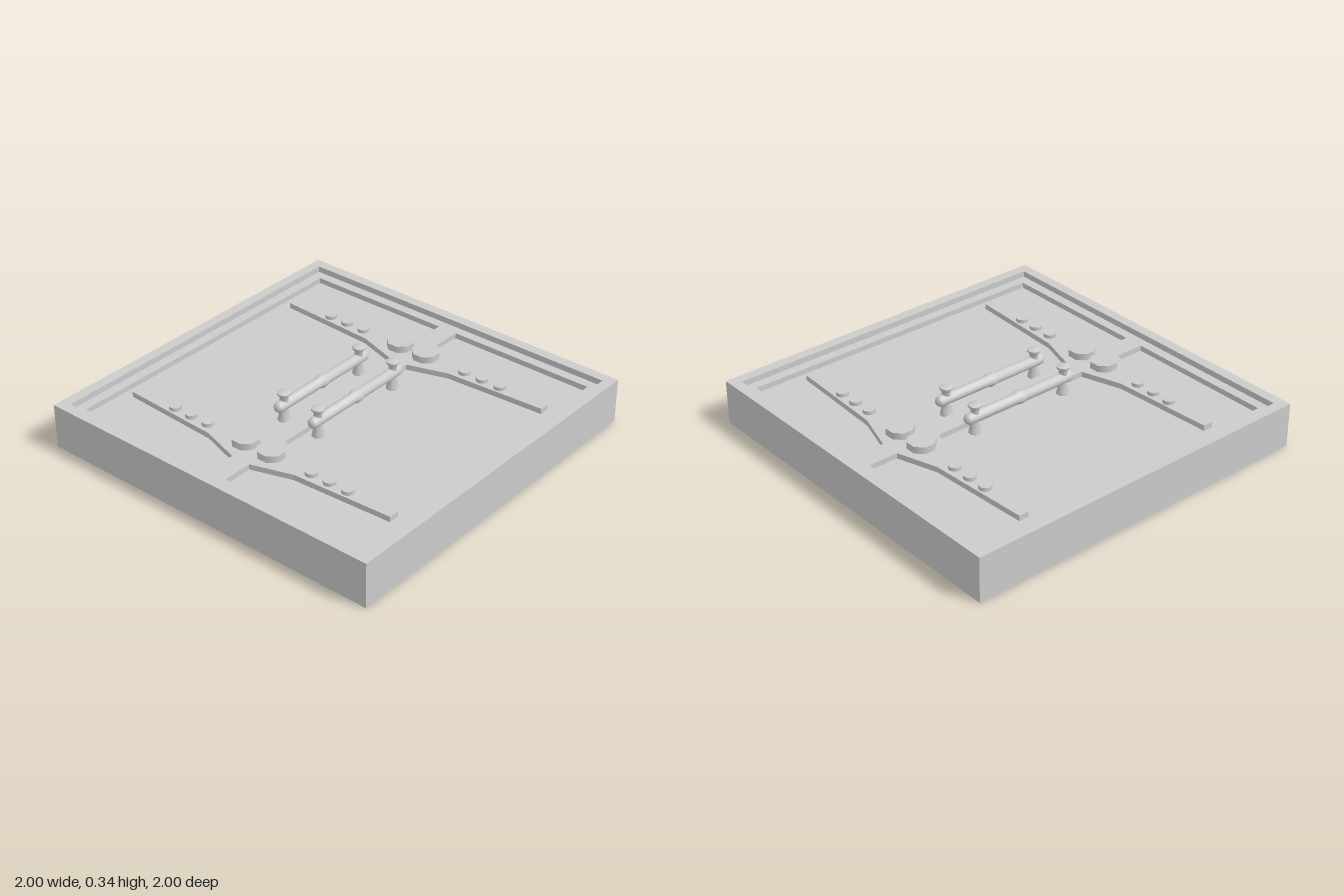
import * as THREE from 'three';
import { toCreasedNormals } from 'three/addons/utils/BufferGeometryUtils.js';

const FLOOR = 0.182, LEDGE = 0.212, RIM = 0.245;
const HINGE_Z = 0.597;

export function createModel() {
  const model = new THREE.Group();
  const material = new THREE.MeshStandardMaterial({ color: 0xcccccc });

  const add = (parent, name, geometry, x = 0, y = 0, z = 0) => {
    const mesh = new THREE.Mesh(geometry, material);
    mesh.name = name;
    mesh.position.set(x, y, z);
    parent.add(mesh);
    return mesh;
  };
  const outline = (points) => new THREE.Shape(points.map(([x, y]) => new THREE.Vector2(x, y)));
  const square = (h) => outline([[-h, -h], [h, -h], [h, h], [-h, h]]);
  // Flat plate lying in the ground plane, thickness upwards
  const plate = (shape, depth) =>
    new THREE.ExtrudeGeometry(shape, { depth, bevelEnabled: false }).rotateX(-Math.PI / 2);
  const lathe = (points, segments = 12) => toCreasedNormals(
    new THREE.LatheGeometry(points.map(([r, y]) => new THREE.Vector2(r, y)), segments), 0.7);

  // Solid slab whose top is the recessed panel floor
  add(model, 'baseSlab', new THREE.BoxGeometry(2, FLOOR, 2), 0, FLOOR / 2, 0);

  // Raised outer rim
  const rim = square(1);
  rim.holes.push(square(0.943));
  add(model, 'outerRim', plate(rim, RIM - FLOOR), 0, FLOOR, 0);

  // Lower inner frame, centre strip and strap hinges in one plate:
  // each side opening runs around the two hinge straps
  const strap = (side, z) => [
    [0.055, -0.128], [0.275, -0.058], [0.832, -0.028],
    [0.832, 0.028], [0.275, 0.058], [0.055, 0.128],
  ].map(([x, dz]) => [side * x, z + dz]);
  const frame = square(0.943);
  for (const side of [-1, 1]) {
    frame.holes.push(outline([
      [side * 0.055, -0.89], ...strap(side, -HINGE_Z), ...strap(side, HINGE_Z),
      [side * 0.055, 0.89], [side * 0.89, 0.89], [side * 0.89, -0.89],
    ]));
  }
  add(model, 'innerFrameAndStraps', plate(frame, LEDGE - FLOOR), 0, FLOOR, 0);

  // Hinge bosses and strap bolts
  const boss = new THREE.CylinderGeometry(0.074, 0.074, 0.037, 8).rotateY(Math.PI / 8);
  const bolt = toCreasedNormals(new THREE.CylinderGeometry(0.033, 0.033, 0.02, 12), 0.7);
  for (const side of [-1, 1]) {
    for (const z of [-HINGE_Z, HINGE_Z]) {
      add(model, 'hingeBoss', boss, side * 0.083, LEDGE + 0.0185, z);
      for (const x of [0.335, 0.447, 0.558]) add(model, 'strapBolt', bolt, side * x, LEDGE + 0.01, z);
    }
  }

  // Pull handles: rounded bar with a centre collar, on posts with flared ends
  const bar = lathe([
    [0, -0.352], [0.016, -0.347], [0.027, -0.335], [0.03, -0.318],
    [0.03, -0.03], [0.036, -0.008], [0.036, 0.008], [0.03, 0.03],
    [0.03, 0.318], [0.027, 0.335], [0.016, 0.347], [0, 0.352],
  ]).rotateX(Math.PI / 2);
  const post = lathe([
    [0.034, FLOOR], [0.032, FLOOR + 0.012], [0.022, 0.235], [0.022, 0.315],
    [0.035, 0.33], [0.035, 0.339], [0.03, 0.342], [0, 0.342],
  ]);
  for (const side of [-1, 1]) {
    const handle = new THREE.Group();
    handle.name = side > 0 ? 'leftHandle' : 'rightHandle';
    handle.position.x = side * 0.111;
    add(handle, 'handleBar', bar, 0, 0.27, 0);
    for (const z of [-0.288, 0.288]) add(handle, 'handlePost', post, 0, 0, z);
    model.add(handle);
  }
  return model;
}
